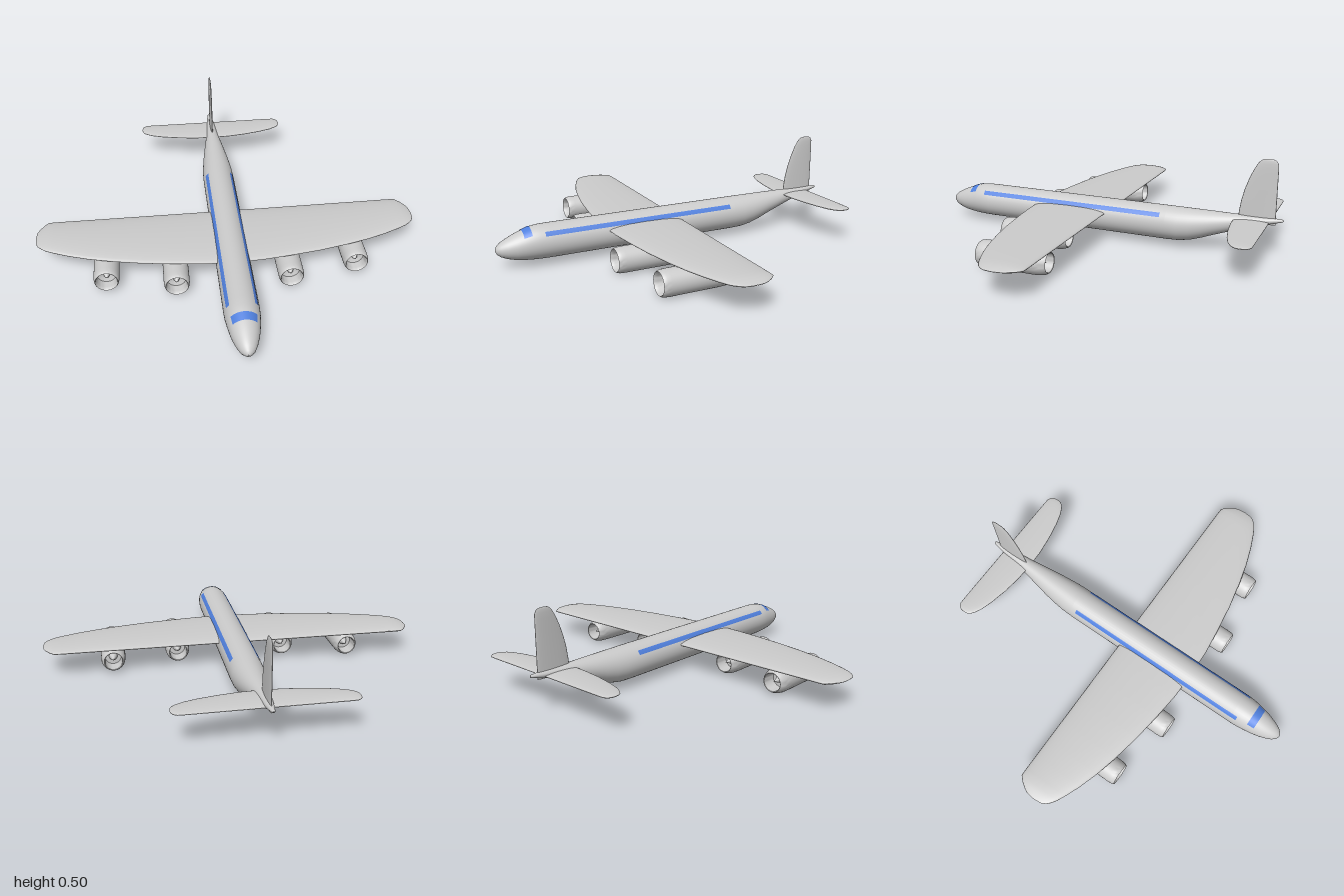
import * as THREE from 'three';
import { toCreasedNormals } from 'three/addons/utils/BufferGeometryUtils.js';

const grey = new THREE.MeshStandardMaterial({ color: 0xcccccc });
const blue = new THREE.MeshStandardMaterial({ color: 0x5080dd, side: THREE.DoubleSide });

// Skin joining rings of points; closed rings wrap around
function loft(rings, closed = true) {
  const n = rings[0].length, index = [];
  for (let i = 0; i < rings.length - 1; i++) {
    for (let j = 0; j < (closed ? n : n - 1); j++) {
      const k = (j + 1) % n;
      const a = i * n + j, b = i * n + k, c = a + n, d = b + n;
      index.push(a, b, c, b, d, c);
    }
  }
  const geo = new THREE.BufferGeometry().setFromPoints(rings.flat());
  geo.setIndex(index);
  geo.computeVertexNormals();
  return geo;
}

// Fuselage stations from tail to nose: z, top, bottom, half width
const stations = [
  [-0.945, 0.199, 0.197, 0.001], [-0.94, 0.203, 0.19, 0.008], [-0.9, 0.205, 0.18, 0.016],
  [-0.8, 0.205, 0.152, 0.029], [-0.7, 0.205, 0.118, 0.043], [-0.6, 0.205, 0.083, 0.061],
  [-0.54, 0.205, 0.06, 0.071], [-0.48, 0.205, 0.041, 0.079], [-0.42, 0.205, 0.031, 0.085],
  [-0.36, 0.205, 0.029, 0.087], [0.68, 0.205, 0.029, 0.087], [0.73, 0.204, 0.03, 0.085],
  [0.77, 0.199, 0.032, 0.08], [0.81, 0.186, 0.036, 0.073], [0.85, 0.171, 0.042, 0.064],
  [0.89, 0.153, 0.053, 0.05], [0.92, 0.137, 0.066, 0.036], [0.937, 0.122, 0.08, 0.021],
  [0.944, 0.109, 0.093, 0.009], [0.946, 0.102, 0.1, 0.001],
];
const profile = new THREE.LinearInterpolant(
  stations.map((s) => s[0]), stations.flatMap((s) => s.slice(1)), 3);

function hullPoint(z, angle, proud = 0) {
  const [top, bottom, half] = profile.evaluate(z);
  return new THREE.Vector3(
    (half + proud) * Math.cos(angle),
    (top + bottom) / 2 + ((top - bottom) / 2 + proud) * Math.sin(angle), z);
}

function hullPatch(z0, z1, deg0, deg1, segments) {
  const rings = [];
  for (let i = 0; i <= segments; i++) {
    const z = z0 + (z1 - z0) * i / segments, ring = [];
    for (let j = 0; j <= 16; j++) {
      ring.push(hullPoint(z, THREE.MathUtils.degToRad(deg0 + (deg1 - deg0) * j / 16), 0.002));
    }
    rings.push(ring);
  }
  return loft(rings, false);
}

// Lens-section surface along x; sections are x, trailing z, leading z, thickness
function foil(sections) {
  return loft(sections.map(([x, back, front, thick]) =>
    Array.from({ length: 28 }, (_, j) => {
      const t = j / 28 * Math.PI * 2;
      return new THREE.Vector3(x, thick / 2 * Math.cos(t),
        (back + front) / 2 + (front - back) / 2 * Math.sin(t));
    })));
}

function mirrored(half) {
  return [...half.slice(1).reverse().map(([x, ...rest]) => [-x, ...rest]), ...half];
}

const wingSections = [
  [0, -0.03, 0.385, 0.04], [0.15, -0.03, 0.38, 0.04], [0.3, -0.03, 0.363, 0.04],
  [0.45, -0.03, 0.342, 0.04], [0.6, -0.03, 0.312, 0.04], [0.72, -0.03, 0.282, 0.039],
  [0.82, -0.03, 0.249, 0.038], [0.9, -0.03, 0.216, 0.037], [0.94, -0.029, 0.197, 0.033],
  [0.965, -0.004, 0.18, 0.025], [0.985, 0.026, 0.16, 0.015], [0.996, 0.05, 0.138, 0.007],
  [1, 0.085, 0.1, 0.001],
];
const tailSections = [
  [0, -0.876, -0.7, 0.018], [0.1, -0.876, -0.704, 0.018], [0.2, -0.876, -0.717, 0.018],
  [0.3, -0.876, -0.738, 0.018], [0.36, -0.876, -0.757, 0.018], [0.395, -0.875, -0.775, 0.016],
  [0.413, -0.865, -0.79, 0.012], [0.422, -0.85, -0.805, 0.007], [0.425, -0.832, -0.826, 0.001],
];
const finSections = [
  [0.17, -0.905, -0.718, 0.015], [0.22, -0.905, -0.722, 0.015], [0.28, -0.905, -0.731, 0.015],
  [0.34, -0.905, -0.746, 0.015], [0.4, -0.905, -0.767, 0.015], [0.45, -0.905, -0.79, 0.014],
  [0.475, -0.904, -0.805, 0.012], [0.49, -0.896, -0.818, 0.009], [0.497, -0.886, -0.83, 0.005],
  [0.5, -0.865, -0.85, 0.001],
];

// Engine pod from exhaust cone, over the cowl, to the intake spinner
function podGeometry() {
  const points = [
    [0, 0.015], [0.022, 0.075], [0.043, 0.075], [0.046, 0.002], [0.049, 0], [0.055, 0.01],
    [0.061, 0.028], [0.064, 0.05], [0.065, 0.08], [0.065, 0.33], [0.064, 0.35], [0.061, 0.364],
    [0.057, 0.37], [0.053, 0.366], [0.05, 0.35], [0.048, 0.315], [0.018, 0.305], [0.012, 0.325],
    [0, 0.342],
  ].map(([r, y]) => new THREE.Vector2(r, y));
  return toCreasedNormals(new THREE.LatheGeometry(points, 40).rotateX(Math.PI / 2), 0.7);
}

export function createModel() {
  const model = new THREE.Group();
  model.name = 'airplane';
  const add = (name, geometry, material = grey) => {
    const mesh = new THREE.Mesh(geometry, material);
    mesh.name = name;
    model.add(mesh);
    return mesh;
  };

  // Body
  add('fuselage', loft(stations.map(([z]) =>
    Array.from({ length: 40 }, (_, j) => hullPoint(z, j / 40 * Math.PI * 2)))));

  // Window bands and windshield follow the hull
  add('leftWindowBand', hullPatch(-0.33, 0.71, 30, 46, 12), blue);
  add('rightWindowBand', hullPatch(-0.33, 0.71, 134, 150, 12), blue);
  add('windshield', hullPatch(0.772, 0.812, 40, 140, 4), blue);

  // Flying surfaces
  add('wing', foil(mirrored(wingSections))).position.y = 0.143;
  add('tailplane', foil(mirrored(tailSections))).position.y = 0.182;
  add('fin', foil(finSections).rotateZ(Math.PI / 2));

  // Four engines under the wing, outer pair set further back
  const pod = podGeometry();
  for (const side of [1, -1]) {
    const sideName = side > 0 ? 'left' : 'right';
    add(sideName + 'InnerEngine', pod).position.set(side * 0.29, 0.065, 0.072);
    add(sideName + 'OuterEngine', pod).position.set(side * 0.64, 0.065, 0.004);
  }
  return model;
}
